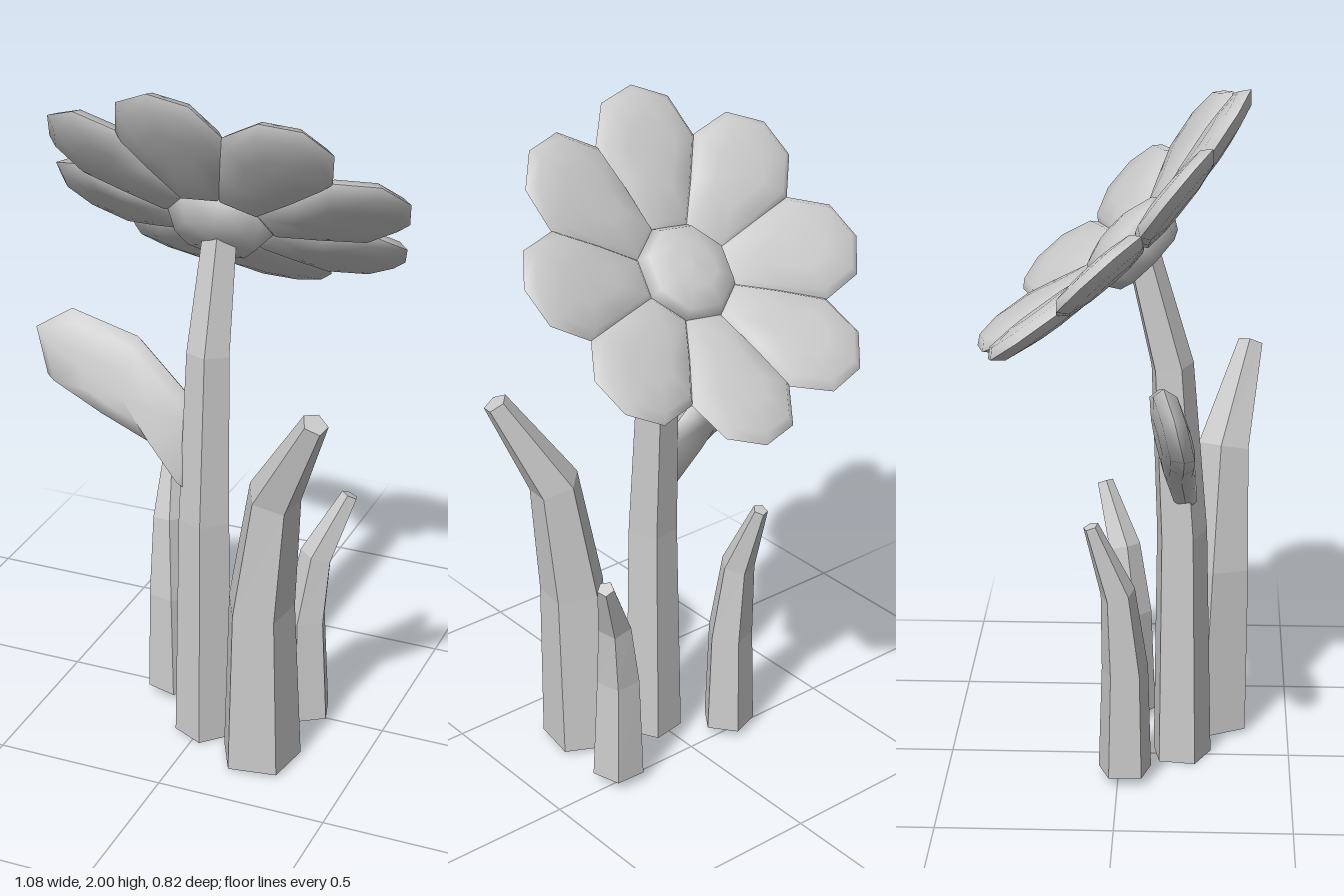
import * as THREE from 'three';

const DEG = Math.PI / 180;
const smooth = new THREE.MeshStandardMaterial({ color: 0xcccccc });
const faceted = new THREE.MeshStandardMaterial({ color: 0xcccccc, flatShading: true });

function add(parent, geometry, material, name) {
  const mesh = new THREE.Mesh(geometry, material);
  mesh.name = name;
  parent.add(mesh);
  return mesh;
}

// Five-sided tapering stalk through nodes [x, y, z, radius], turned by a start angle
function stalk(nodes, startDeg, sides = 5) {
  const points = nodes.map(n => new THREE.Vector3(n[0], n[1], n[2]));
  const up = new THREE.Vector3(0, 1, 0);
  const pos = [], index = [];
  points.forEach((p, i) => {
    const before = points[Math.max(i - 1, 0)];
    const after = points[Math.min(i + 1, points.length - 1)];
    const tangent = i === 0 ? up : after.clone().sub(before).normalize();
    const turn = new THREE.Quaternion().setFromUnitVectors(up, tangent);
    for (let k = 0; k < sides; k++) {
      const a = startDeg * DEG + k / sides * Math.PI * 2;
      const v = new THREE.Vector3(Math.cos(a), 0, Math.sin(a)).multiplyScalar(nodes[i][3]);
      pos.push(...v.applyQuaternion(turn).add(p).toArray());
    }
  });
  for (let i = 0; i < points.length - 1; i++) {
    for (let k = 0; k < sides; k++) {
      const a = i * sides + k, b = i * sides + (k + 1) % sides;
      index.push(a, a + sides, b, b, a + sides, b + sides);
    }
  }
  const top = (points.length - 1) * sides;
  for (let k = 1; k < sides - 1; k++) {
    index.push(0, k, k + 1, top, top + k + 1, top + k);
  }
  const g = new THREE.BufferGeometry();
  g.setAttribute('position', new THREE.Float32BufferAttribute(pos, 3));
  g.setIndex(index);
  g.computeVertexNormals();
  return g;
}

// Two smooth domed halves over a counter-clockwise outline, meeting at a sharp rim
function pillow(outline, halfThickness, place) {
  const n = outline.length;
  const cx = outline.reduce((s, p) => s + p[0], 0) / n;
  const cy = outline.reduce((s, p) => s + p[1], 0) / n;
  const rings = [[1, 0], [0.86, 0.72], [0.45, 1]];
  const pos = [], index = [];
  for (const side of [1, -1]) {
    const start = pos.length / 3;
    const tri = (a, b, c) => index.push(start + a, start + (side > 0 ? b : c), start + (side > 0 ? c : b));
    for (const [s, h] of rings) {
      for (const [x, y] of outline) {
        pos.push(...place(cx + (x - cx) * s, cy + (y - cy) * s, side * h * halfThickness));
      }
    }
    pos.push(...place(cx, cy, side * halfThickness));
    for (let k = 0; k < n; k++) {
      const m = (k + 1) % n;
      for (let r = 0; r < rings.length - 1; r++) {
        const a = r * n + k, b = r * n + m;
        tri(a, b, a + n);
        tri(b, b + n, a + n);
      }
      const last = (rings.length - 1) * n;
      tri(last + k, last + m, rings.length * n);
    }
  }
  const g = new THREE.BufferGeometry();
  g.setAttribute('position', new THREE.Float32BufferAttribute(pos, 3));
  g.setIndex(index);
  g.computeVertexNormals();
  return g;
}

export function createModel() {
  const model = new THREE.Group();
  model.name = 'flower';

  // Stem
  add(model, stalk([
    [0.01, 0, 0.18, 0.09], [0.01, 0.7, 0.175, 0.077],
    [0.01, 1.2, 0.145, 0.064], [0.01, 1.53, 0.06, 0.05],
  ], 80), faceted, 'stem');

  // Grass blades around the stem
  add(model, stalk([
    [0.215, 0.01, 0.265, 0.12], [0.22, 0.52, 0.285, 0.1],
    [0.265, 0.88, 0.3, 0.078], [0.41, 1.16, 0.375, 0.038],
  ], 45), faceted, 'largeBlade');
  add(model, stalk([
    [-0.16, 0.025, 0.02, 0.08], [-0.165, 0.34, 0.02, 0.07],
    [-0.178, 0.58, 0, 0.052], [-0.2, 0.79, -0.075, 0.023],
  ], 70), faceted, 'rightBlade');
  add(model, stalk([
    [0.265, 0.03, 0.02, 0.078], [0.26, 0.35, 0.02, 0.065],
    [0.285, 0.55, 0, 0.05], [0.36, 0.73, -0.06, 0.025],
  ], 20), faceted, 'leftBlade');

  // Leaf growing from the side of the stem, leaning slightly back
  const leafOutline = [
    [-0.515, 1.2], [-0.47, 1.07], [-0.3, 0.98], [-0.125, 0.9], [-0.03, 0.78],
    [-0.01, 0.98], [-0.065, 1.055], [-0.22, 1.2], [-0.415, 1.26],
  ];
  add(model, pillow(leafOutline, 0.045, (x, y, h) =>
    [x, y, 0.155 + h - 0.3 * ((x + 0.26) * 0.53 + (y - 1.07) * 0.85)]), smooth, 'leaf');

  // Flower head, tilted towards the back
  const head = new THREE.Group();
  head.name = 'flowerHead';
  head.position.set(0, 1.56, 0.03);
  head.rotation.x = -45 * DEG;
  model.add(head);

  // Domed centre
  const profile = [[0, -0.085], [0.115, -0.072], [0.16, 0], [0.13, 0.045], [0.07, 0.062], [0, 0.067]]
    .map(p => new THREE.Vector2(...p));
  add(head, new THREE.LatheGeometry(profile, 8, 14.5 * DEG), smooth, 'flowerCentre');

  // Ring of slightly raised petals
  const half = [[0.06, 0.12], [0.115, 0.25], [0.163, 0.385], [0.11, 0.505]];
  const petalOutline = [...half, [0, 0.547], ...half.map(([x, y]) => [-x, y]).reverse()];
  const petal = pillow(petalOutline, 0.035, (x, y, h) => [x, h + 0.2 * (y - 0.14), -y]);
  for (let i = 0; i < 8; i++) {
    add(head, petal, smooth, 'petal').rotation.y = -(8 + 45 * i) * DEG;
  }

  return model;
}
